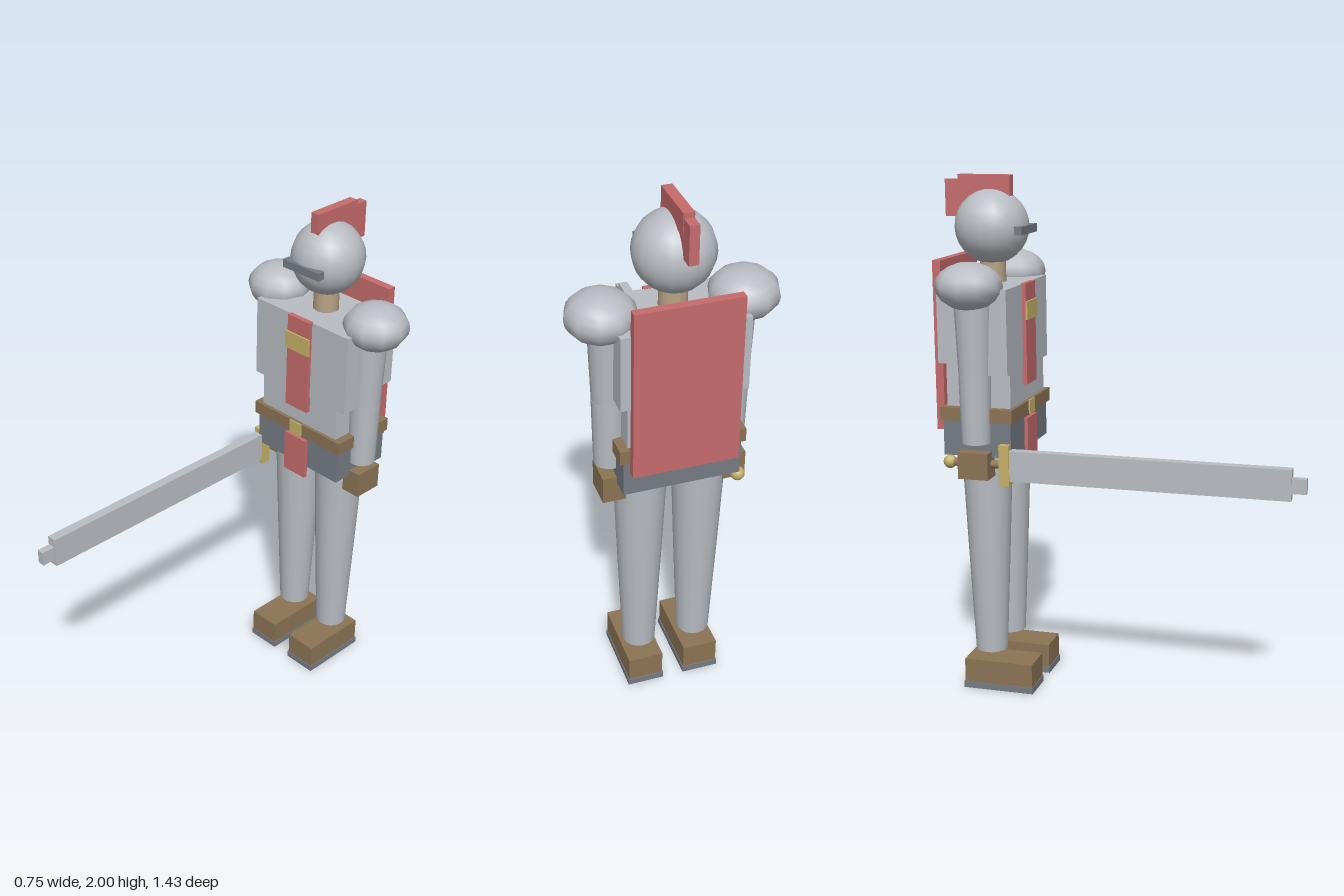
import * as THREE from 'three';

const mat = (name, color) => {
  const m = new THREE.MeshStandardMaterial({ color });
  m.name = name;
  return m;
};

export function createModel() {
  const root = new THREE.Group();
  root.name = 'armouredGuard';
  const steel = mat('steel', 0xb9bdc3);
  const darkSteel = mat('dark steel', 0x767c84);
  const red = mat('red cloth', 0xc66b6c);
  const leather = mat('brown leather', 0x8c7455);
  const gold = mat('gold', 0xc6b268);
  const skin = mat('skin', 0xb9a487);
  const Z = -0.533; // body axis

  const add = (name, geometry, material, x, y, z) => {
    const mesh = new THREE.Mesh(geometry, material);
    mesh.name = name;
    mesh.position.set(x, y, z);
    root.add(mesh);
    return mesh;
  };
  // box from its limits on each axis
  const box = (name, material, [x0, x1], [y0, y1], [z0, z1]) =>
    add(name, new THREE.BoxGeometry(x1 - x0, y1 - y0, z1 - z0), material,
      (x0 + x1) / 2, (y0 + y1) / 2, (z0 + z1) / 2);
  // upright tapered limb section
  const limb = (name, material, x, y0, y1, r0, r1, sides = 14) =>
    add(name, new THREE.CylinderGeometry(r1, r0, y1 - y0, sides), material, x, (y0 + y1) / 2, Z);

  // head and helmet
  add('helmet', new THREE.SphereGeometry(0.141, 16, 14), steel, 0, 1.808, Z);
  box('visor', darkSteel, [-0.09, 0.09], [1.784, 1.815], [-0.415, -0.385]);
  box('crest', red, [-0.019, 0.019], [1.92, 2], [-0.66, -0.453]);
  box('crestTail', red, [-0.017, 0.017], [1.843, 1.982], [-0.712, -0.62]);
  limb('neck', skin, 0, 1.57, 1.7, 0.05, 0.05, 12);

  // torso
  box('waist', steel, [-0.195, 0.195], [1.08, 1.585], [-0.656, -0.404]);
  box('breastplate', steel, [-0.235, 0.235], [1.28, 1.6], [Z, -0.4]);
  box('backplate', steel, [-0.226, 0.226], [1.317, 1.597], [-0.675, Z]);
  box('hips', darkSteel, [-0.213, 0.213], [0.963, 1.1], [-0.667, -0.4]);
  box('belt', leather, [-0.227, 0.227], [1.098, 1.15], [-0.674, -0.39]);
  box('buckle', gold, [-0.03, 0.03], [1.097, 1.151], [-0.39, -0.384]);
  box('tabardTop', red, [-0.056, 0.056], [1.217, 1.602], [-0.405, -0.385]);
  box('tabardBottom', red, [-0.056, 0.056], [0.917, 1.085], [-0.402, -0.386]);
  box('chestClasp', gold, [-0.061, 0.061], [1.465, 1.535], [-0.385, -0.378]);
  box('cape', red, [-0.19, 0.19], [1.055, 1.695], [-0.702, -0.67]);

  // arms and legs, mirrored
  for (const s of [-1, 1]) {
    const side = s > 0 ? 'left' : 'right';
    add(side + 'Pauldron', new THREE.SphereGeometry(0.125, 10, 10), steel, s * 0.249, 1.612, Z - 0.004)
      .scale.y = 0.71;
    limb(side + 'UpperArm', steel, s * 0.222, 1.28, 1.57, 0.06, 0.072);
    limb(side + 'Forearm', steel, s * 0.222, 1.02, 1.28, 0.055, 0.061);
    const hx = s * 0.222;
    box(side + 'Hand', leather, [hx - 0.042, hx + 0.042], [0.885, 0.987], [-0.595, -0.476]);

    limb(side + 'Thigh', steel, s * 0.109, 0.57, 1.0, 0.081, 0.099, 16);
    limb(side + 'Shin', steel, s * 0.109, 0.155, 0.57, 0.062, 0.081, 16);
    const fx = s * 0.109;
    box(side + 'Boot', leather, [fx - 0.066, fx + 0.066], [0.025, 0.12], [-0.625, -0.347]);
    box(side + 'Sole', darkSteel, [fx - 0.069, fx + 0.069], [0, 0.025], [-0.629, -0.344]);
  }

  // sword held level in the right hand
  const sx = -0.216;
  box('blade', steel, [sx - 0.019, sx + 0.019], [0.88, 0.997], [-0.405, 0.66]);
  box('bladeTip', steel, [sx - 0.014, sx + 0.014], [0.908, 0.964], [0.66, 0.714]);
  box('crossguard', gold, [sx - 0.023, sx + 0.023], [0.86, 1.018], [-0.441, -0.401]);
  add('grip', new THREE.CylinderGeometry(0.016, 0.016, 0.2, 10), leather, sx, 0.938, -0.54)
    .rotation.x = Math.PI / 2;
  add('pommel', new THREE.SphereGeometry(0.026, 10, 8), gold, sx, 0.938, -0.643);

  return root;
}
